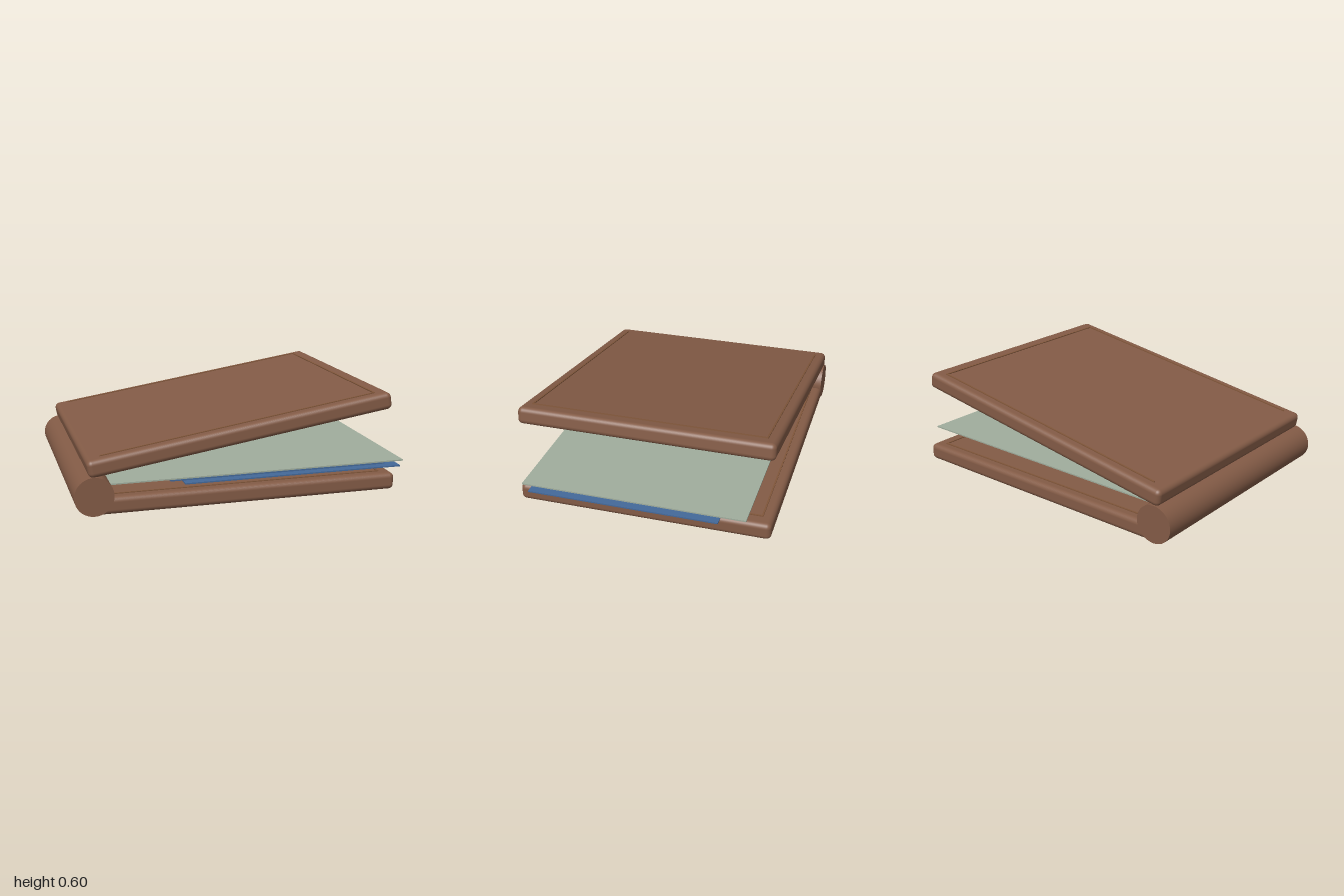
import * as THREE from 'three';
import { RoundedBoxGeometry } from 'three/addons/geometries/RoundedBoxGeometry.js';

export function createModel() {
  const mat = (name, color) => {
    const m = new THREE.MeshStandardMaterial({ color });
    m.name = name;
    return m;
  };
  const leather = mat('brown leather', 0x835b46);
  const thread = mat('tan stitching', 0x80563a);
  const green = mat('pale green paper', 0xa0ad9d);
  const blue = mat('blue paper', 0x44699a);

  const root = new THREE.Group();
  root.name = 'openFolder';

  const add = (parent, name, geometry, material, x = 0, y = 0, z = 0) => {
    const mesh = new THREE.Mesh(geometry, material);
    mesh.name = name;
    mesh.position.set(x, y, z);
    parent.add(mesh);
    return mesh;
  };

  // Padded cover with a U of raised stitching on each face, open toward the spine
  const cover = (name, x, y, tilt) => {
    const g = new THREE.Group();
    g.name = name;
    add(g, 'coverBoard', new RoundedBoxGeometry(1.83, 0.102, 1.51, 5, 0.03), leather);
    for (const side of [-1, 1]) {
      const h = side * 0.051;
      for (const z of [-0.69, 0.69]) {
        add(g, 'sideStitching', new THREE.BoxGeometry(1.66, 0.01, 0.01), thread, 0, h, z);
      }
      add(g, 'endStitching', new THREE.BoxGeometry(0.01, 0.01, 1.39), thread, 0.83, h, 0);
    }
    g.position.set(x, y, 0);
    g.rotation.z = tilt;
    root.add(g);
  };
  cover('bottomCover', 0.01, 0.056, 0);
  cover('topCover', -0.015, 0.412, THREE.MathUtils.degToRad(9));

  // Round spine
  const spine = add(root, 'spine', new THREE.CylinderGeometry(0.1125, 0.1125, 1.51, 48), leather, -0.8875, 0.117, 0);
  spine.rotation.x = Math.PI / 2;

  // Loose sheets: x range, height, z range
  const sheets = [
    ['lowerSheet', -0.35, 1.0, 0.122, -0.47, 0.67, blue],
    ['middleSheet', -0.43, 0.91, 0.138, -0.51, 0.64, blue],
    ['upperSheet', -0.52, 0.83, 0.152, -0.54, 0.61, blue],
    ['largeSheet', -0.79, 1.0, 0.168, -0.63, 0.705, green],
  ];
  for (const [name, x0, x1, y, z0, z1, m] of sheets) {
    add(root, name, new THREE.BoxGeometry(x1 - x0, 0.008, z1 - z0), m, (x0 + x1) / 2, y, (z0 + z1) / 2);
  }

  return root;
}
